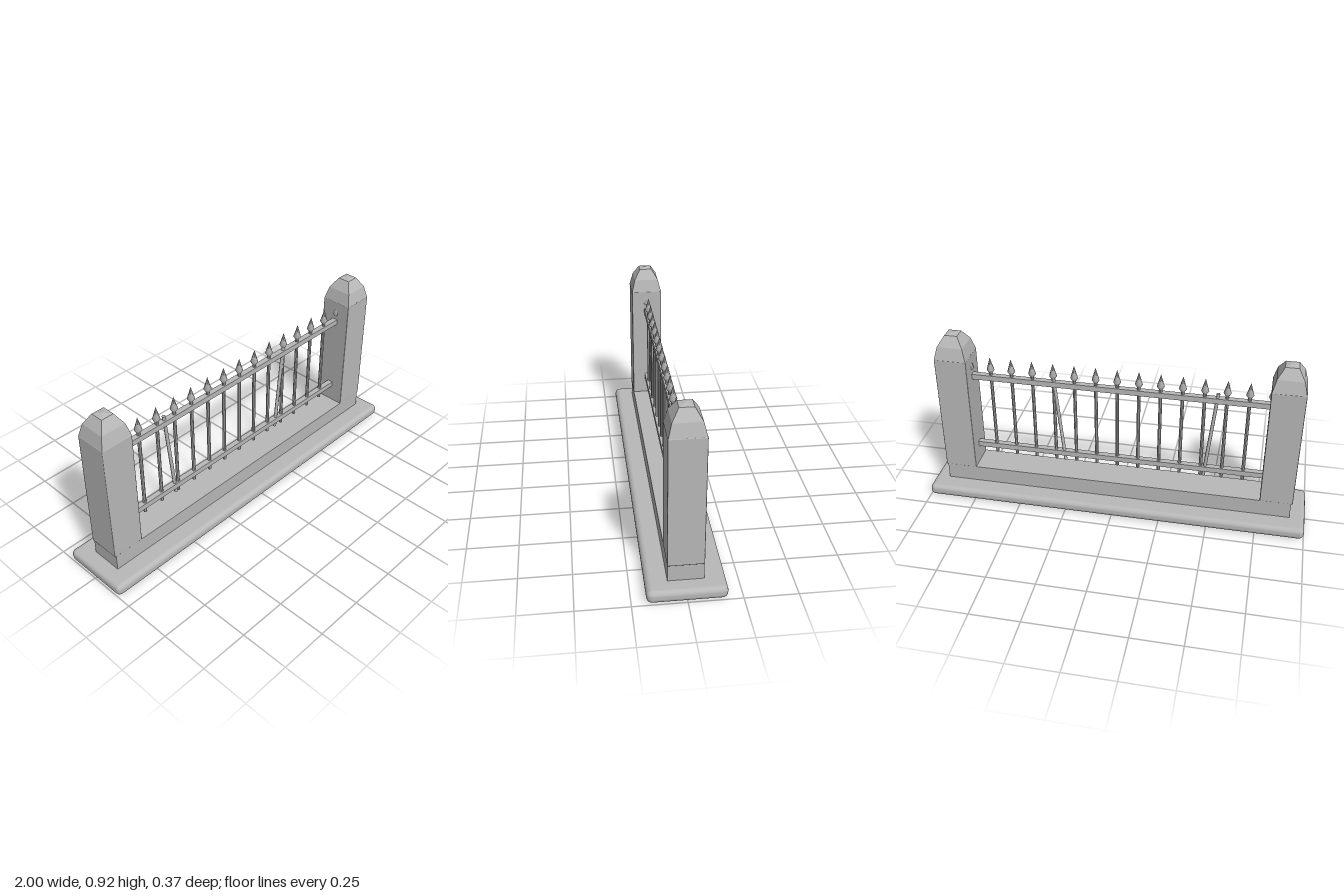
import * as THREE from 'three';
import { toCreasedNormals } from 'three/addons/utils/BufferGeometryUtils.js';
import { RoundedBoxGeometry } from 'three/addons/geometries/RoundedBoxGeometry.js';

export function createModel() {
  const group = new THREE.Group();
  const stone = new THREE.MeshStandardMaterial({ color: 0xb8b8b8 });
  stone.name = 'grey stone and iron';

  const add = (name, geometry, x = 0, y = 0, z = 0) => {
    const mesh = new THREE.Mesh(geometry, stone);
    mesh.name = name;
    mesh.position.set(x, y, z);
    group.add(mesh);
    return mesh;
  };
  const lathe = (points, sides, start = 0) =>
    new THREE.LatheGeometry(points.map(([r, y]) => new THREE.Vector2(r, y)), sides, start);

  // Rounded ground slab and the plinth on it
  add('baseSlab', new RoundedBoxGeometry(2, 0.063, 0.366, 2, 0.026), 0, 0.0315);
  add('plinth', new THREE.BoxGeometry(1.842, 0.095, 0.166), 0, 0.1025);

  // Square pillars with faceted domed caps
  const pillar = new RoundedBoxGeometry(0.168, 0.643, 0.168, 1, 0.004);
  const capProfile = [[0.083, 0.788], [0.066, 0.855], [0.033, 0.908], [0, 0.915]]
    .map(([half, y]) => [half * Math.SQRT2, y]);
  const cap = toCreasedNormals(lathe(capProfile, 4, Math.PI / 4), 0.05);
  for (const [side, s] of [['left', 1], ['right', -1]]) {
    add(side + 'Pillar', pillar, s * 0.845, 0.4695);
    add(side + 'PillarCap', cap, s * 0.845);
  }

  // Horizontal rails
  const rail = new THREE.BoxGeometry(1.54, 0.029, 0.03);
  add('lowerRail', rail, 0, 0.256);
  add('upperRail', rail, 0, 0.672);

  // Upright spears, the end ones half sunk in the pillars
  const spear = toCreasedNormals(lathe(
    [[0, 0.212], [0.009, 0.212], [0.009, 0.7], [0.02, 0.718], [0, 0.787]], 8), 0.9);
  for (let i = -7; i <= 7; i++) add('spear', spear, i * 0.1102);

  // Loose bars leaning out of line
  for (const [bottom, top] of [[-0.458, -0.507], [0.281, 0.331]]) {
    const dx = top - bottom, dy = 0.497;
    const bar = add('looseBar', new THREE.CylinderGeometry(0.009, 0.009, Math.hypot(dx, dy), 8),
      (bottom + top) / 2, 0.212 + dy / 2);
    bar.rotation.z = -Math.atan2(dx, dy);
  }
  return group;
}
